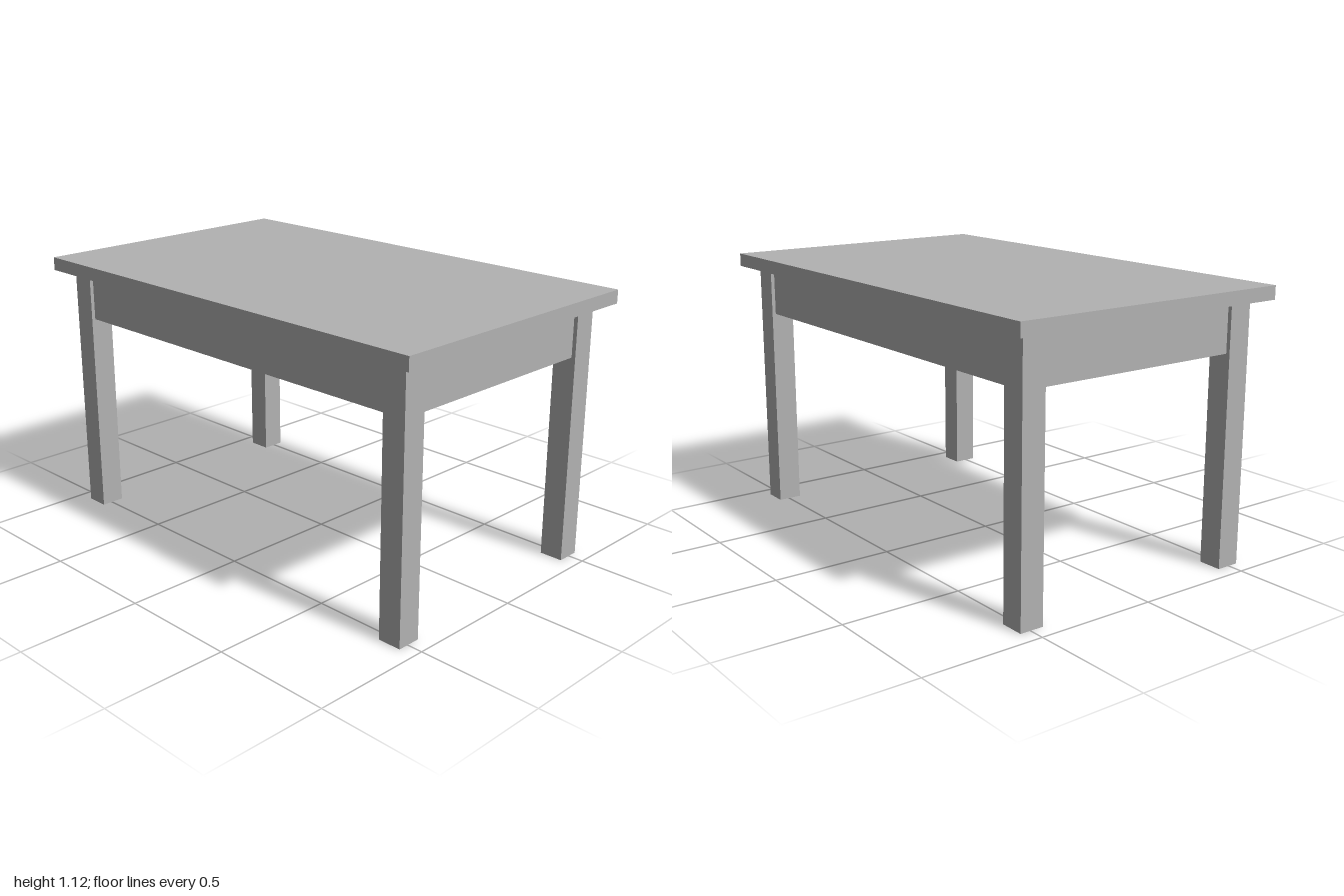
import * as THREE from 'three';

export function createModel() {
  const model = new THREE.Group();
  model.name = 'table';
  const grey = new THREE.MeshStandardMaterial({ color: 0xb2b2b2, side: THREE.DoubleSide });
  grey.name = 'plain grey';

  const add = (name, geometry, x, y, z) => {
    const mesh = new THREE.Mesh(geometry, grey);
    mesh.name = name;
    mesh.position.set(x, y, z);
    model.add(mesh);
  };

  // Flat slab on top
  const height = 1.115, underside = 1.06, apronBottom = 0.86;
  add('tableTop', new THREE.BoxGeometry(2, height - underside, 1.212), 0, (height + underside) / 2, 0);

  // Closed apron block, set back a little from the outer faces of the legs
  add('apron', new THREE.BoxGeometry(1.836, underside - apronBottom, 1.056), 0, (underside + apronBottom) / 2, 0);

  // Four square legs, hollow and open at the foot
  const legSize = 0.099;
  const leg = new THREE.CylinderGeometry(legSize / Math.SQRT2, legSize / Math.SQRT2, underside, 4, 1, true)
    .rotateY(Math.PI / 4)
    .toNonIndexed();
  leg.computeVertexNormals();
  for (const [sx, side] of [[1, 'Left'], [-1, 'Right']]) {
    for (const [sz, end] of [[1, 'front'], [-1, 'back']]) {
      add(`${end}${side}Leg`, leg, sx * 0.885, underside / 2, sz * 0.494);
    }
  }
  return model;
}
